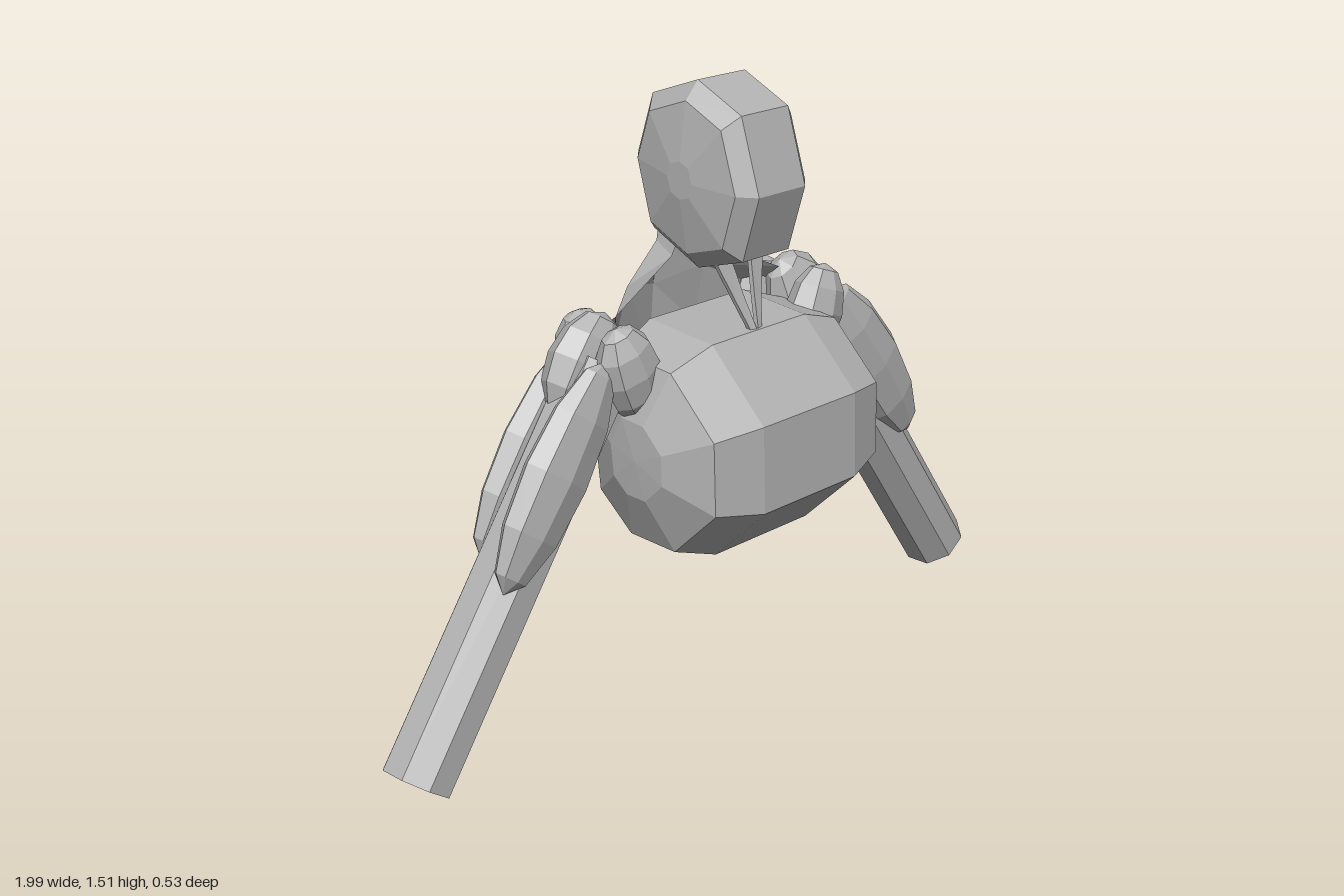
import * as THREE from 'three';

const clay = new THREE.MeshStandardMaterial({ color: 0xb2b2b2, flatShading: true, side: THREE.DoubleSide });
clay.name = 'clay grey';

function part(name, geometry, parent) {
  const mesh = new THREE.Mesh(geometry, clay);
  mesh.name = name;
  parent.add(mesh);
  return mesh;
}

// Joins rows of points [x, y, z] into a surface.
function skin(rows, closed) {
  const n = rows[0].length, index = [];
  for (let i = 0; i < rows.length - 1; i++) {
    for (let j = 0; j < (closed ? n : n - 1); j++) {
      const k = (j + 1) % n;
      const a = i * n + j, b = i * n + k, c = b + n, d = a + n;
      index.push(a, b, c, a, c, d);
    }
  }
  const g = new THREE.BufferGeometry();
  g.setAttribute('position', new THREE.Float32BufferAttribute(rows.flat(2), 3));
  g.setIndex(index);
  g.computeVertexNormals();
  return g;
}

// Side outline [z, y] swept along x; half rings [x, scale] are mirrored.
function facetedBody(outline, [cz, cy], half) {
  const rings = [...half.map(([x, s]) => [-x, s]).reverse(), ...half];
  return skin(rings.map(([x, s]) => outline.map(([z, y]) =>
    [x, cy + (y - cy) * s, cz + (z - cz) * s])), true);
}

export function createModel() {
  const model = new THREE.Group();
  model.name = 'upperBodyMannequin';

  part('head', facetedBody(
    [[-0.02, 1.515], [0.115, 1.45], [0.17, 1.27], [0.12, 1.11],
      [-0.02, 1.07], [-0.165, 1.14], [-0.215, 1.32], [-0.165, 1.465]],
    [-0.02, 1.29], [[0.078, 0.99], [0.118, 0.8], [0.14, 0.2], [0.14, 0]]), model);

  part('ribcage', facetedBody(
    [[-0.1, 0.95], [0.1, 0.93], [0.26, 0.77], [0.265, 0.56],
      [0.11, 0.413], [-0.06, 0.42], [-0.18, 0.52], [-0.205, 0.74]],
    [0.03, 0.68], [[0.16, 1], [0.285, 0.84], [0.34, 0.35], [0.345, 0]]), model);

  // Trapezius: half rows from the spine to the outer edge, top to bottom
  const trapHalf = [
    [[0, 1.24, -0.2], [0.02, 1.23, -0.19], [0.035, 1.17, -0.1]],
    [[0, 1.12, -0.22], [0.045, 1.1, -0.19], [0.07, 1.08, -0.115]],
    [[0, 0.97, -0.248], [0.13, 1.0, -0.205], [0.28, 0.985, -0.09]],
    [[0, 0.8, -0.262], [0.14, 0.84, -0.243], [0.28, 0.92, -0.17]],
    [[0, 0.64, -0.252], [0.055, 0.66, -0.24], [0.11, 0.72, -0.2]],
    [[0, 0.47, -0.24], [0.005, 0.48, -0.238], [0.01, 0.5, -0.232]],
  ];
  part('trapezius', skin(trapHalf.map(([c, m, e]) => {
    const flip = ([x, y, z]) => [-x, y, z];
    return [flip(e), flip(m), c, m, e];
  }), false), model);

  const tilt = 0.615;
  for (const [side, s] of [['left', 1], ['right', -1]]) {
    const arm = new THREE.Group();
    arm.name = side + 'Arm';
    model.add(arm);

    // Straight eight-sided limb
    const limb = part('limb', new THREE.CylinderGeometry(0.086, 0.086, 1.02, 8)
      .rotateY(Math.PI / 8), arm);
    limb.position.set(s * 0.636, 0.468, -0.08);
    limb.rotation.z = s * tilt;

    // Muscles: centre, half sizes (width, length, depth), tilt
    const muscles = [
      ['biceps', [0.55, 0.69, -0.012], [0.1, 0.285, 0.052], 0.62],
      ['triceps', [0.485, 0.71, -0.155], [0.1, 0.285, 0.048], 0.64],
      ['frontDeltoid', [0.32, 0.88, -0.008], [0.085, 0.12, 0.062], -0.35],
      ['sideDeltoid', [0.375, 0.885, -0.105], [0.1, 0.135, 0.07], 0.6],
      ['rearDeltoid', [0.3, 0.89, -0.175], [0.08, 0.105, 0.06], -0.2],
    ];
    for (const [name, p, size, angle] of muscles) {
      const m = part(name, new THREE.SphereGeometry(1, 8, 6).scale(...size), arm);
      m.position.set(s * p[0], p[1], p[2]);
      m.rotation.z = s * angle;
    }

    // Thin neck strap from behind the jaw to the breastbone
    const strap = [[0.09, 1.2, 0.03, 0.026], [0.055, 1.09, 0.035, 0.023],
      [0.03, 1.0, 0.062, 0.014], [0.008, 0.92, 0.09, 0.008]];
    part(side + 'NeckStrap', skin(strap.map(([x, y, z, w]) => [
      [s * (x - w), y, z + 0.008], [s * (x + w), y, z + 0.004],
      [s * (x + w), y, z - 0.008], [s * (x - w), y, z - 0.004]]), true), model);
  }
  return model;
}
